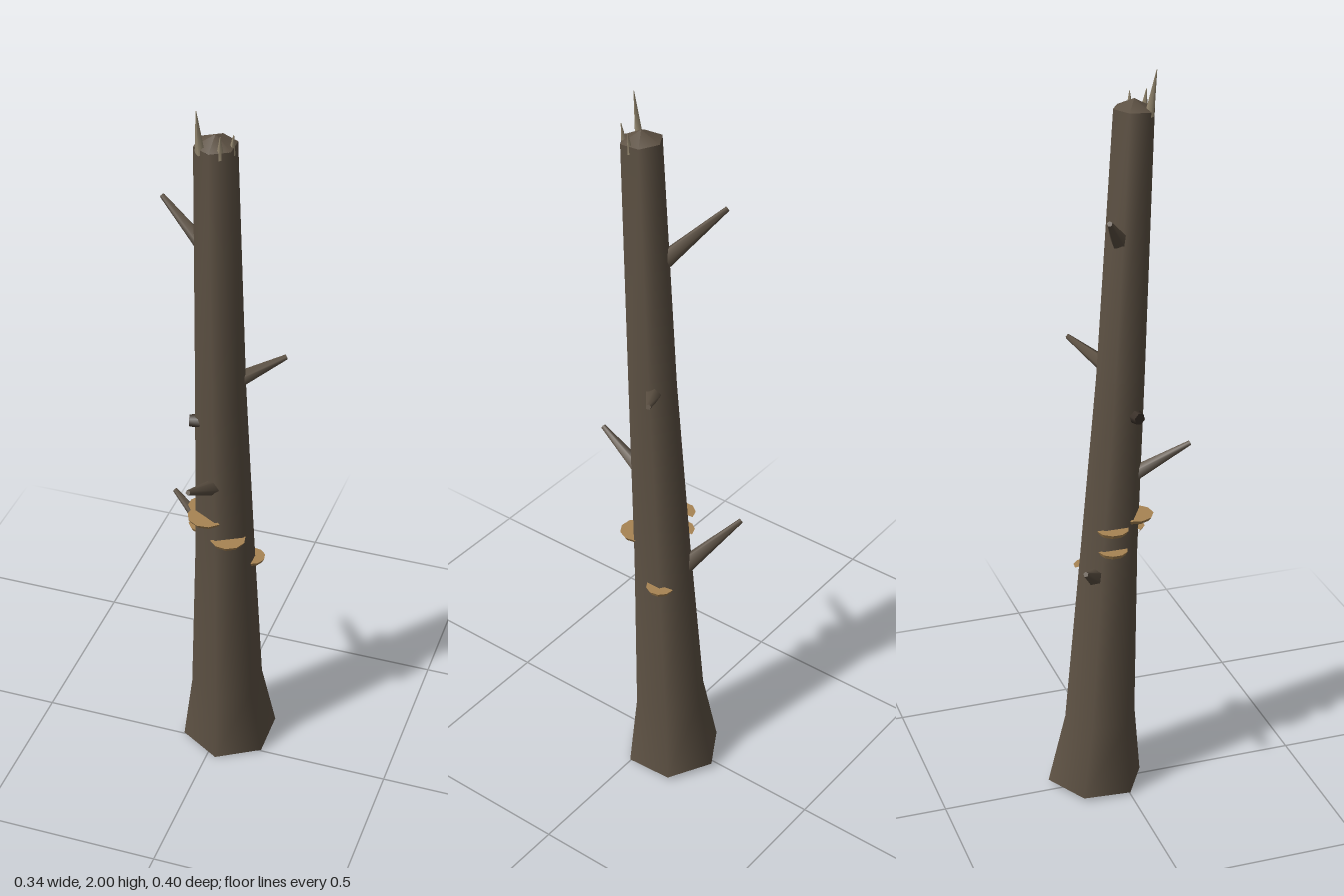
import * as THREE from 'three';
import { mergeVertices } from 'three/addons/utils/BufferGeometryUtils.js';

const material = (name, color, side = THREE.FrontSide) =>
  Object.assign(new THREE.MeshStandardMaterial({ color, side }), { name });

export function createModel() {
  const tree = new THREE.Group();
  tree.name = 'deadTree';
  const bark = material('bark', 0x5e5244, THREE.DoubleSide);
  const knotDark = material('darkKnot', 0x3a3028);
  const fungus = material('fungus', 0xa88453);
  const wood = material('paleWood', 0x9a8d74);

  function add(name, geometry, mat, parent = tree) {
    const mesh = new THREE.Mesh(geometry, mat);
    mesh.name = name;
    parent.add(mesh);
    return mesh;
  }

  // Trunk: six-sided rings [y, centre x, centre z, radius], leaning forward
  const rings = [
    [0.01, 0.025, -0.066, 0.133],
    [0.21, 0.021, -0.05, 0.1],
    [0.7, 0.022, -0.023, 0.08],
    [1.2, 0.02, 0.009, 0.066],
    [1.9, 0.018, 0.043, 0.054],
  ];
  let trunk = new THREE.CylinderGeometry(1, 1, rings.length - 1, 6, rings.length - 1, true);
  trunk.deleteAttribute('uv');
  trunk.deleteAttribute('normal');
  trunk = mergeVertices(trunk);
  const pos = trunk.attributes.position;
  for (let i = 0; i < pos.count; i++) {
    const [y, cx, cz, r] = rings[Math.round(pos.getY(i) + (rings.length - 1) / 2)];
    const dz = pos.getZ(i) * r;
    pos.setXYZ(i, cx + pos.getX(i) * r, y - dz * 0.06, cz + dz);
  }
  trunk.computeVertexNormals();
  add('trunk', trunk, bark);

  // Low dome closing the broken top
  const cap = add('trunkTop', new THREE.ConeGeometry(0.054, 0.026, 6, 1, true), bark);
  cap.position.set(0.018, 1.913, 0.043);
  cap.rotation.x = 0.06;

  // Tapered limb between two points
  const up = new THREE.Vector3(0, 1, 0);
  function limb(name, from, to, r0, r1, sides, mat) {
    const a = new THREE.Vector3(...from);
    const d = new THREE.Vector3(...to).sub(a);
    const mesh = add(name, new THREE.CylinderGeometry(r1, r0, d.length(), sides), mat);
    mesh.position.copy(a).addScaledVector(d, 0.5);
    mesh.quaternion.setFromUnitVectors(up, d.normalize());
  }

  // Broken branches
  limb('lowerRightBranch', [-0.01, 0.645, -0.07], [-0.164, 0.742, -0.147], 0.025, 0.007, 5, bark);
  limb('frontBranch', [0.016, 0.91, 0.03], [-0.004, 0.995, 0.194], 0.023, 0.007, 5, bark);
  limb('leftBranch', [0.05, 1.215, -0.015], [0.164, 1.268, -0.088], 0.023, 0.007, 5, bark);
  limb('upperRightBranch', [-0.01, 1.575, -0.005], [-0.164, 1.675, -0.081], 0.023, 0.007, 5, bark);

  // Small dark knot
  limb('knot', [-0.025, 1.105, 0.028], [-0.055, 1.105, 0.036], 0.02, 0.016, 6, knotDark);

  // Bracket fungi: thin half discs [x, y, z, facing angle from +z, radius]
  const brackets = [
    [-0.008, 0.81, 0.037, -0.52, 0.052],
    [0.05, 0.75, 0.037, 0.52, 0.048],
    [-0.04, 0.79, -0.033, -1.57, 0.043],
    [-0.042, 0.73, -0.033, -1.57, 0.04],
    [0.084, 0.63, -0.063, 1.75, 0.038],
  ];
  for (const [x, y, z, angle, r] of brackets) {
    const shelf = new THREE.CylinderGeometry(r, r * 0.85, 0.011, 5, 1, false, -Math.PI / 2, Math.PI);
    const mesh = add('bracketFungus', shelf.toNonIndexed(), fungus);
    mesh.geometry.computeVertexNormals();
    mesh.position.set(x, y, z);
    mesh.rotation.y = angle;
  }

  // Splinters around the broken top
  limb('tallSplinter', [-0.011, 1.885, 0.072], [-0.014, 2, 0.09], 0.013, 0.001, 4, wood);
  limb('frontSplinter', [0.04, 1.88, 0.075], [0.043, 1.94, 0.084], 0.011, 0.001, 4, wood);
  limb('sideSplinter', [0.058, 1.88, 0.045], [0.064, 1.932, 0.047], 0.01, 0.001, 4, wood);

  return tree;
}
